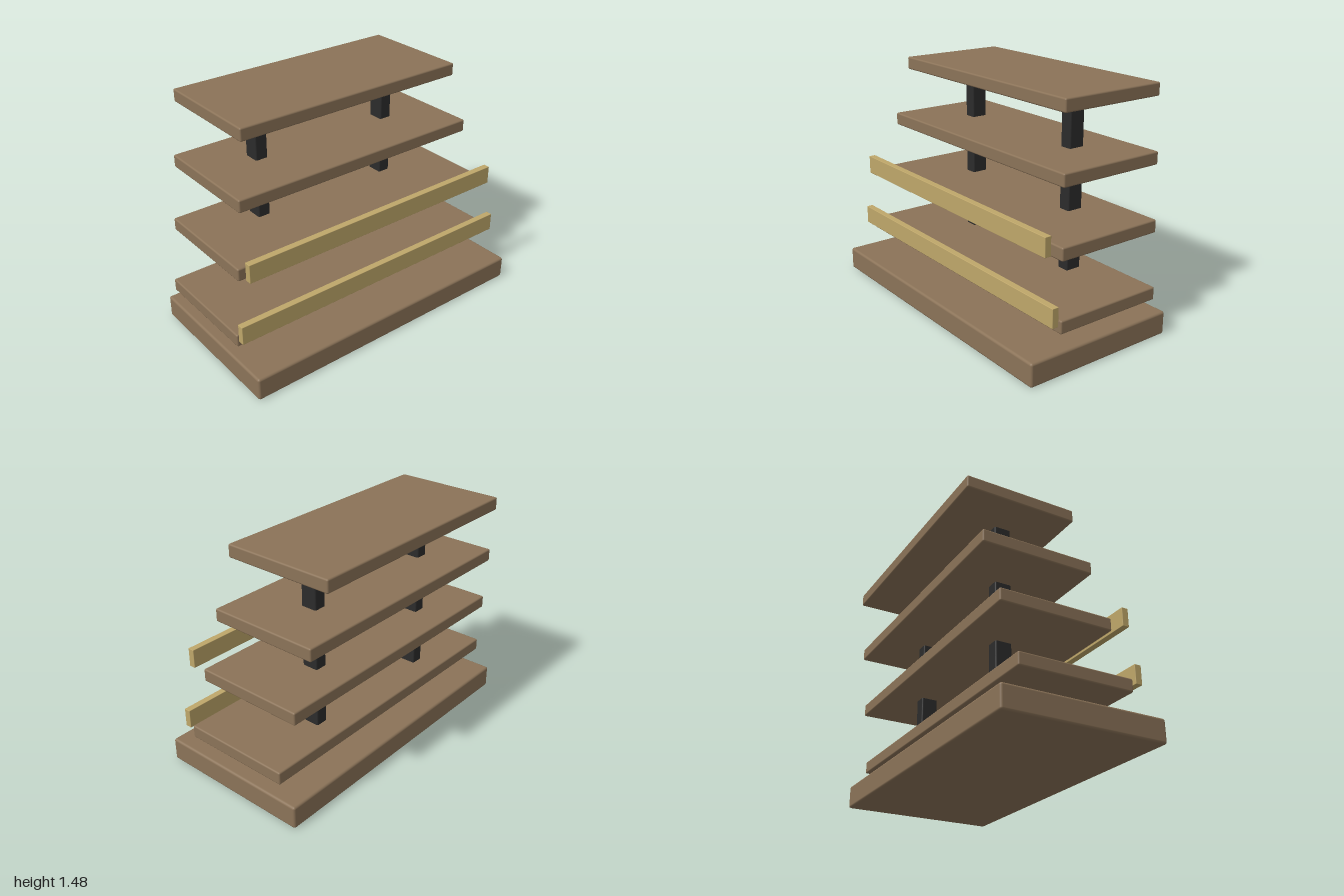
import * as THREE from 'three';
import { RoundedBoxGeometry } from 'three/addons/geometries/RoundedBoxGeometry.js';

export function createModel() {
  const wood = new THREE.MeshStandardMaterial({ color: 0x8b7358 });
  wood.name = 'brown wood';
  const brass = new THREE.MeshStandardMaterial({ color: 0xbfa76a });
  brass.name = 'brass';
  const iron = new THREE.MeshStandardMaterial({ color: 0x2c2c2c });
  iron.name = 'dark iron';

  const group = new THREE.Group();
  group.name = 'tieredDisplayShelf';

  // Softened box given by its min and max on each axis
  function block(name, [x0, x1], [y0, y1], [z0, z1], radius, material) {
    const geometry = new RoundedBoxGeometry(x1 - x0, y1 - y0, z1 - z0, 3, radius);
    const mesh = new THREE.Mesh(geometry, material);
    mesh.name = name;
    mesh.position.set((x0 + x1) / 2, (y0 + y1) / 2, (z0 + z1) / 2);
    group.add(mesh);
  }

  // Base plinth
  block('base', [-1, 1], [0, 0.147], [-0.471, 0.55], 0.015, wood);

  // Four shelves, each narrower and set further back than the one below
  for (let i = 0; i < 4; i++) {
    const half = 1 - i * 0.0705;
    const y = 0.255 + i * 0.3825;
    const front = 0.348 - i * 0.0607;
    block(`shelf${i + 1}`, [-half, half], [y, y + 0.081], [front - 0.715, front], 0.01, wood);

    // Guard rails in front of the two lowest shelves
    if (i < 2) {
      block(`rail${i + 1}`, [-half, half], [y + 0.055, y + 0.173], [0.368, 0.41], 0.003, brass);
    }
  }

  // Two uprights joining the base to the top shelf
  for (const [name, x] of [['leftPost', 0.48], ['rightPost', -0.48]]) {
    block(name, [x - 0.041, x + 0.041], [0.147, 1.41], [-0.219, -0.113], 0.01, iron);
  }

  return group;
}
